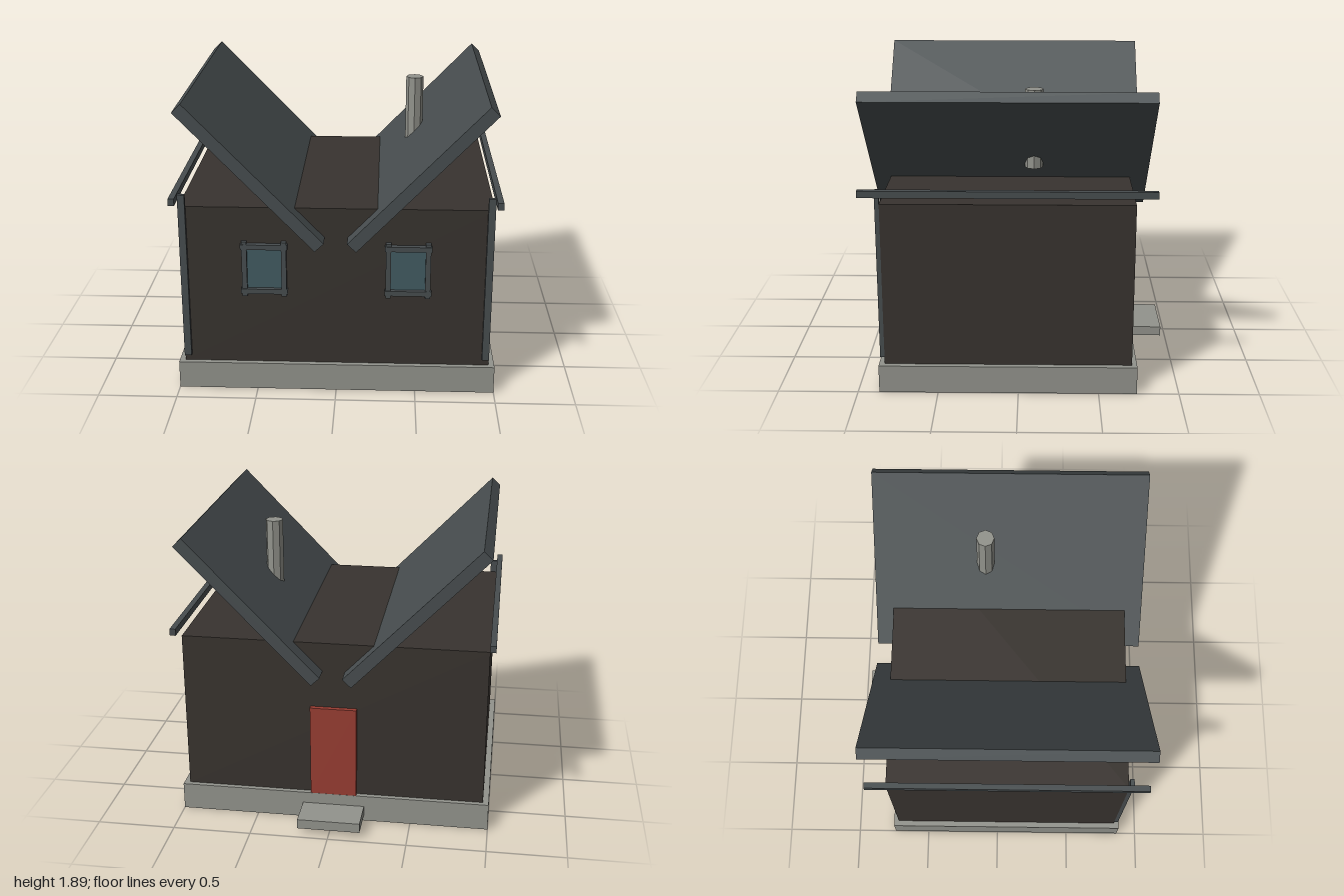
import * as THREE from 'three';

const mat = (color) => new THREE.MeshStandardMaterial({ color, flatShading: true });

export function createModel() {
  const house = new THREE.Group();
  house.name = 'house';

  const stone = mat(0x92938c);
  const timber = mat(0x38332f);
  const slate = mat(0x474d4f);
  const red = mat(0x973d32);
  const glass = mat(0x425b61);

  // Box given by its lower and upper bounds on each axis
  function box(name, material, [x0, x1], [y0, y1], [z0, z1], parent = house) {
    const mesh = new THREE.Mesh(new THREE.BoxGeometry(x1 - x0, y1 - y0, z1 - z0), material);
    mesh.position.set((x0 + x1) / 2, (y0 + y1) / 2, (z0 + z1) / 2);
    mesh.name = name;
    parent.add(mesh);
    return mesh;
  }

  // Foundation, walls, and back entrance
  box('foundation', stone, [-1, 1], [0, 0.177], [-0.738, 0.867]);
  box('walls', timber, [-0.963, 0.963], [0.177, 1.218], [-0.706, 0.832]);
  box('doorstep', stone, [-0.2, 0.2], [0.04, 0.103], [-0.96, -0.738]);
  box('door', red, [-0.148, 0.148], [0.177, 0.785], [-0.737, -0.706]);

  for (const side of [-1, 1]) {
    const label = side > 0 ? 'left' : 'right';
    const span = (a, b) => (side > 0 ? [a, b] : [-b, -a]);

    // Roof slab rising outward from the middle
    const roof = new THREE.Mesh(new THREE.BoxGeometry(1.195, 0.076, 1.762), slate);
    roof.position.set(side * 0.513, 1.433, 0.062);
    roof.rotation.z = side * THREE.MathUtils.degToRad(46);
    roof.name = label + 'RoofSlab';
    house.add(roof);

    // Gutter along the eave and downpipe at the front corner
    box(label + 'Gutter', slate, span(0.963, 1), [1.267, 1.31], [-0.832, 0.958]);
    box(label + 'Downpipe', slate, span(0.919, 0.963), [0.223, 1.3], [0.832, 0.859]);

    // Window with crossing frame bars
    const win = new THREE.Group();
    win.name = label + 'Window';
    win.position.set(side * 0.444, 0.822, 0.832);
    house.add(win);
    box('pane', glass, [-0.11, 0.11], [-0.14, 0.14], [0, 0.008], win);
    for (const s of [-1, 1]) {
      const x = s * 0.122, y = s * 0.147;
      box('frameUpright', slate, [x - 0.016, x + 0.016], [-0.18, 0.18], [0, 0.03], win);
      box('frameRail', slate, [-0.145, 0.145], [y - 0.016, y + 0.016], [0, 0.035], win);
    }
  }

  // Chimney pipe through the left slab
  const chimney = new THREE.Mesh(new THREE.CylinderGeometry(0.057, 0.057, 0.5, 8), stone);
  chimney.position.set(0.482, 1.57, -0.092);
  chimney.name = 'chimney';
  house.add(chimney);

  return house;
}
